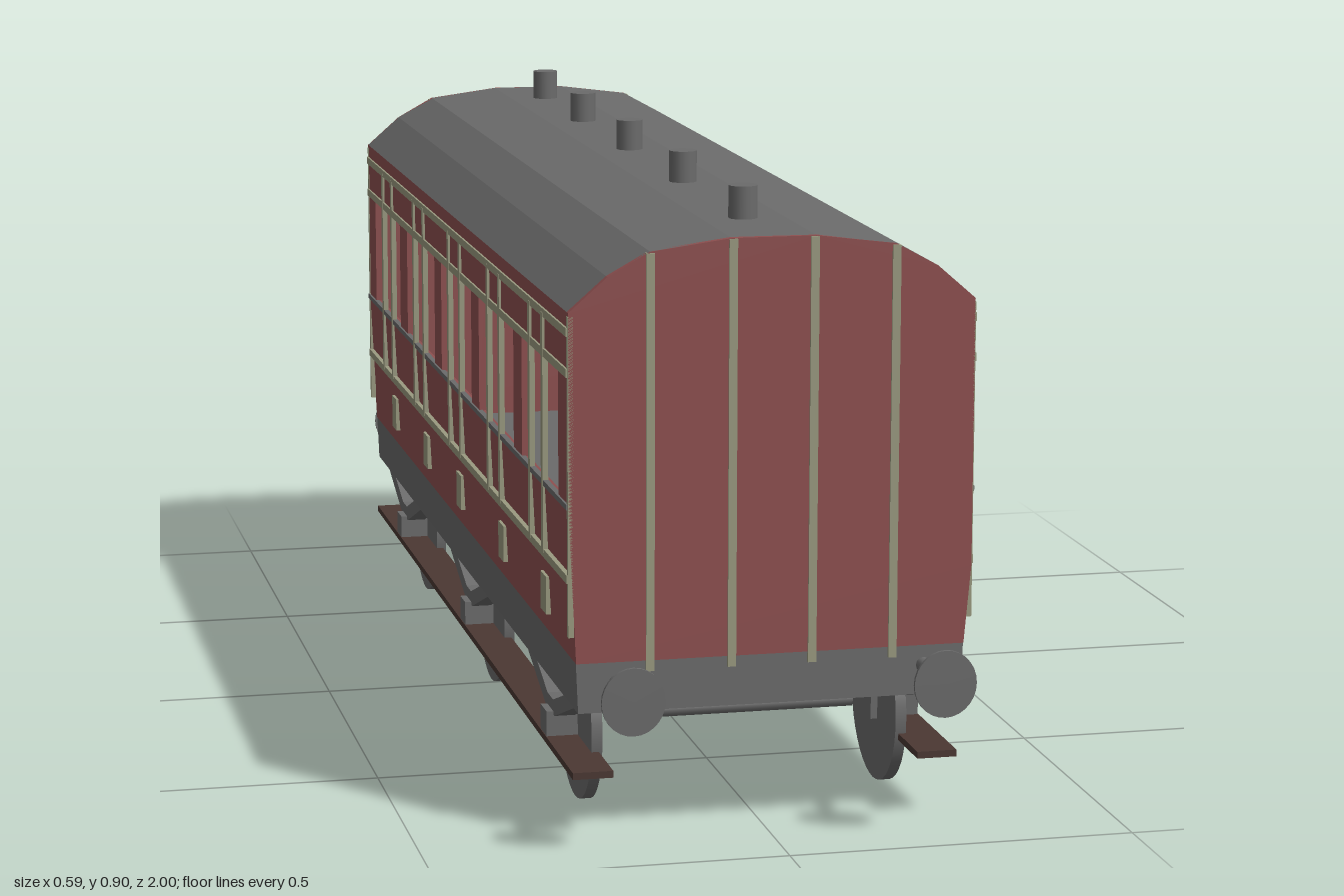
import * as THREE from 'three';

const paint = (name, color) => {
  const m = new THREE.MeshStandardMaterial({ color });
  m.name = name;
  return m;
};

export function createModel() {
  const red = paint('maroon paint', 0x8e5050);
  const grey = paint('grey metal', 0x6b6b6b);
  const cream = paint('cream beading', 0x9a9a80);
  const brown = paint('brown wood', 0x4b3833);

  const model = new THREE.Group();
  model.name = 'railwayCarriage';
  const add = (name, geo, mat, x = 0, y = 0, z = 0) => {
    const m = new THREE.Mesh(geo, mat);
    m.name = name;
    m.position.set(x, y, z);
    model.add(m);
    return m;
  };
  const box = (name, mat, x0, x1, y0, y1, z0, z1) =>
    add(name, new THREE.BoxGeometry(x1 - x0, y1 - y0, z1 - z0), mat, (x0 + x1) / 2, (y0 + y1) / 2, (z0 + z1) / 2);
  const poly = pts => new THREE.Shape(pts.map(p => new THREE.Vector2(...p)));
  const extrude = (shape, depth) => new THREE.ExtrudeGeometry(shape, { depth, bevelEnabled: false });
  // Extrusion of a (z, y) outline across the width, running from x1 down to x1 - depth
  const across = (shape, depth) => extrude(shape, depth).rotateY(-Math.PI / 2);

  const L = 0.889, W = 0.29, EAVE = 0.757, T = 0.01;
  const lean = s => (s > 0 ? 0.375 : 0.47); // height where the side starts to tuck in
  const arc = [[W, EAVE], [0.235, 0.805], [0.175, 0.838], [0.06, 0.853]];
  const mirror = pts => pts.map(([x, y]) => [-x, y]).reverse();
  const roofTop = [...arc, ...mirror(arc)];

  // Underframe, its top forming the floor
  add('underframe', extrude(poly([[-0.277, 0.19], [0.277, 0.19], [0.28, 0.262], [-0.28, 0.262]]), 2 * L), grey, 0, 0, -L);

  // Faceted roof shell
  const inner = roofTop.map(([x, y]) => [x * 0.97, y - 0.01]).reverse();
  add('roof', extrude(poly([...roofTop, ...inner]), 2 * L), grey, 0, 0, -L);
  for (const z of [-0.73, -0.405, -0.04, 0.335, 0.71])
    add('roofVent', new THREE.CylinderGeometry(0.021, 0.021, 0.06, 16), grey, 0, 0.87, z);

  // End walls with vertical beading
  const endOutline = poly([[-0.28, 0.262], [0.28, 0.262], [W, lean(1)], ...roofTop, [-W, lean(-1)]]);
  for (const s of [1, -1]) {
    add('endWall', extrude(endOutline, T), red, 0, 0, s > 0 ? L + 0.002 - T : -L - 0.002);
    for (const x of [-0.175, -0.058, 0.058, 0.175]) {
      const top = Math.abs(x) > 0.1 ? 0.836 : 0.852;
      box('endBeading', cream, x - 0.006, x + 0.006, 0.247, top, s * L - 0.005, s * L + 0.005);
    }
  }

  // Side walls: pierced upper panel, tucked-in lower panel, beading and handles
  const windows = [[0.552, 0.82], [0.204, 0.488], [-0.134, 0.139], [-0.472, -0.198], [-0.815, -0.547]];
  const bars = [0.718, 0.622, 0.386, 0.29, 0.048, -0.054, -0.295, -0.391, -0.622, -0.718];
  for (const s of [1, -1]) {
    const y0 = lean(s);
    const upper = poly([[-L, y0], [L, y0], [L, EAVE], [-L, EAVE]]);
    for (const [a, b] of windows.map(w => [Math.min(...w), Math.max(...w)]))
      upper.holes.push(new THREE.Path([[a, 0.488], [a, 0.67], [b, 0.67], [b, 0.488]].map(p => new THREE.Vector2(...p))));
    add('upperSide', across(upper, T), red, s > 0 ? W : -W + T);
    const lower = poly([[s * 0.28, 0.262], [s * W, y0], [s * (W - T), y0], [s * (0.28 - T), 0.262]]);
    add('lowerSide', extrude(lower, 2 * L), red, 0, 0, -L);

    const plate = (name, mat, x, ya, yb, za, zb) =>
      box(name, mat, s * x - 0.004, s * x + 0.004, ya, yb, za, zb);
    for (const y of [0.73, 0.673, 0.383])
      plate('horizontalBeading', cream, W - 0.001, y - 0.006, y + 0.006, -L, L);
    plate('windowSill', grey, W - 0.001, 0.481, 0.489, -L, L);
    for (const z of bars)
      plate('verticalBeading', cream, W - 0.0005, 0.383, 0.73, z - 0.007, z + 0.007);
    for (const e of [1, -1])
      plate('cornerBeading', cream, W - 0.003, 0.3, EAVE - 0.005, e * 0.887 - 0.004, e * 0.887 + 0.004);
    for (const z of [0.7, 0.37, 0.005, -0.312, -0.64])
      plate('stepPlate', cream, 0.2845, 0.292, 0.347, z - 0.021, z + 0.021);
  }

  // Running gear
  const spring = poly([
    [-0.2, 0.19], [-0.03, 0.13], [0.03, 0.13], [0.2, 0.19],
    [0.13, 0.19], [0.02, 0.152], [-0.02, 0.152], [-0.13, 0.19],
  ]);
  for (const z of [0.65, -0.02, -0.655]) {
    add('axle', new THREE.CylinderGeometry(0.012, 0.012, 0.365, 12).rotateZ(Math.PI / 2), grey, 0, 0.123, z);
    for (const s of [1, -1]) {
      add('wheel', new THREE.CylinderGeometry(0.12, 0.12, 0.016, 40).rotateZ(Math.PI / 2), grey, s * 0.225, 0.12, z);
      add('leafSpring', across(spring, 0.03), grey, s * 0.254 + 0.015, 0, z);
      box('axleBox', grey, s * 0.243 - 0.036, s * 0.243 + 0.036, 0.095, 0.135, z - 0.022, z + 0.022);
    }
  }
  for (const s of [1, -1])
    box('footboard', brown, s * 0.251 - 0.029, s * 0.251 + 0.029, 0.088, 0.098, -0.893, 0.866);

  // Buffers
  for (const x of [0.222, -0.222])
    for (const e of [1, -1]) {
      add('bufferShank', new THREE.CylinderGeometry(0.011, 0.011, 0.12, 12).rotateX(Math.PI / 2), grey, x, 0.233, e * 0.938);
      const head = add('bufferHead', new THREE.CylinderGeometry(0.045, 0.045, 0.005, 28).rotateX(Math.PI / 2), grey, x, 0.233, e * 0.9975);
      head.scale.y = 1.07;
    }

  return model;
}
